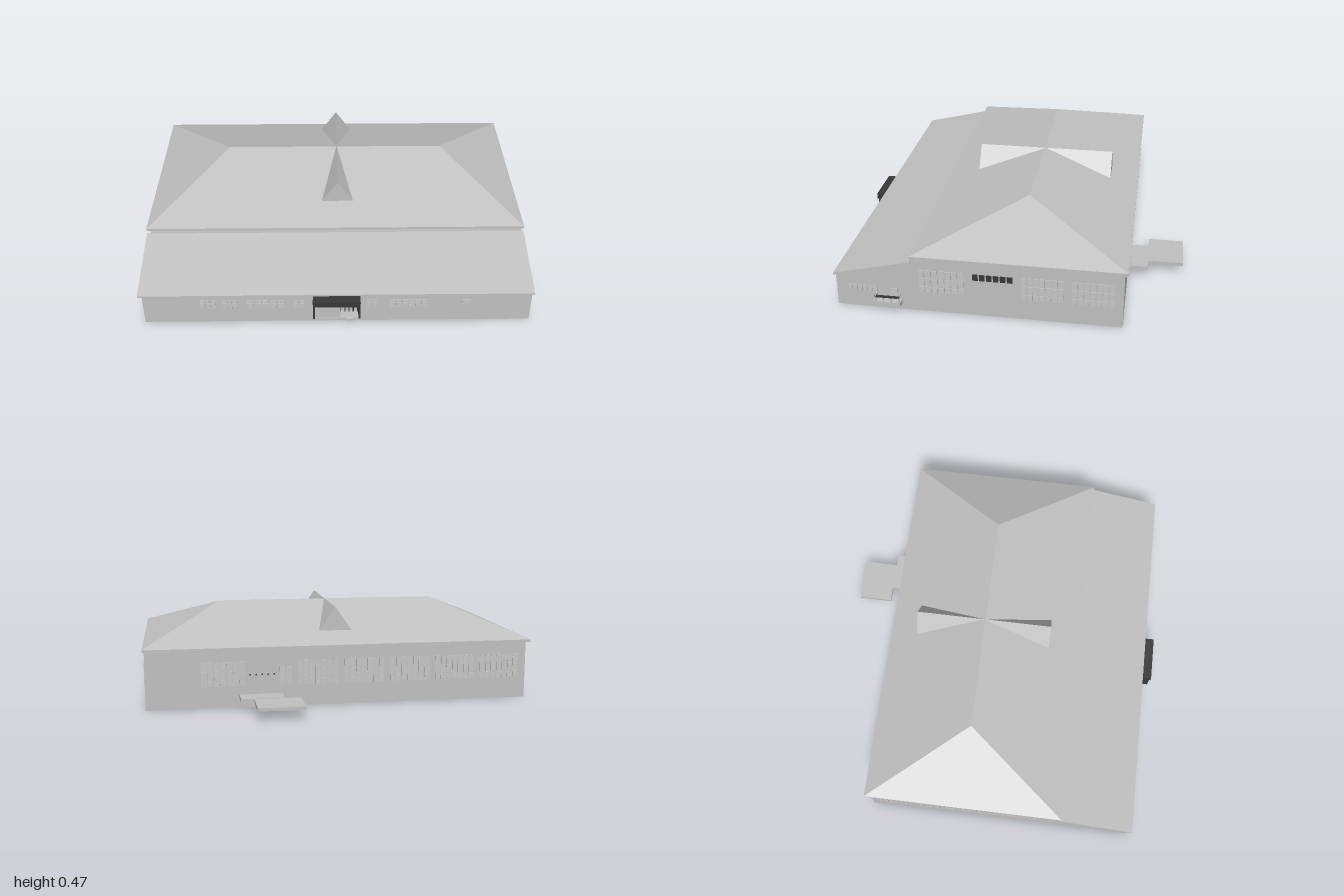
import * as THREE from 'three';
import { ConvexGeometry } from 'three/addons/geometries/ConvexGeometry.js';

const mat = (name, color) => {
  const m = new THREE.MeshStandardMaterial({ color });
  m.name = name;
  return m;
};

export function createModel() {
  const model = new THREE.Group();
  model.name = 'hall';
  const grey = mat('light grey', 0xc0c0c0);
  const pane = mat('pane grey', 0xc6c6c6);
  const dark = mat('charcoal', 0x383838);

  const add = (parent, name, geo, material) => {
    const m = new THREE.Mesh(geo, material);
    m.name = name;
    parent.add(m);
    return m;
  };
  // Box given by its extents on each axis
  const box = (parent, name, [x0, x1], [y0, y1], [z0, z1], material) => {
    const m = add(parent, name, new THREE.BoxGeometry(x1 - x0, y1 - y0, z1 - z0), material);
    m.position.set((x0 + x1) / 2, (y0 + y1) / 2, (z0 + z1) / 2);
    return m;
  };
  // Cross-section in (z, y) swept along x
  const sweep = (name, pts, x0, x1, material) => {
    const shape = new THREE.Shape(pts.map(p => new THREE.Vector2(...p)));
    const geo = new THREE.ExtrudeGeometry(shape, { depth: x1 - x0, bevelEnabled: false });
    geo.rotateY(-Math.PI / 2).translate(x1, 0, 0);
    return add(model, name, geo, material);
  };
  const hull = (name, pts) =>
    add(model, name, new ConvexGeometry(pts.map(p => new THREE.Vector3(...p))), grey);

  // Main walls with the low front wing
  sweep('walls', [[-0.59, 0], [0.8, 0], [0.8, 0.172], [0.43, 0.262], [0.425, 0.288], [-0.59, 0.288]], -0.98, 0.953, grey);
  sweep('frontWingRoof', [[0.81, 0.17], [0.81, 0.18], [0.425, 0.273], [0.425, 0.263]], -1, 0.963, grey);

  // Hipped roof with a thin eave
  const corners = [];
  for (const x of [-1, 0.963]) for (const z of [-0.607, 0.43]) corners.push([x, 0.29, z], [x, 0.303, z]);
  hull('hippedRoof', [...corners, [-0.6, 0.47, -0.09], [0.565, 0.47, -0.09]]);

  // Pointed dormers meeting at the ridge
  for (const [name, z] of [['frontDormer', 0.265], ['backDormer', -0.46]]) {
    hull(name, [[-0.092, 0.353, z], [0.077, 0.353, z], [-0.008, 0.472, z], [-0.008, 0.472, -0.095]]);
  }

  // Each facade has local x along the wall and local z outwards
  const facade = (name, angle, offset) => {
    const g = new THREE.Group();
    g.name = name;
    g.rotation.y = angle;
    g.position.set(Math.sin(angle) * offset, 0, Math.cos(angle) * offset);
    model.add(g);
    return g;
  };
  const front = facade('frontFacade', 0, 0.8);
  const right = facade('leftFacade', Math.PI / 2, 0.953);
  const left = facade('rightFacade', -Math.PI / 2, 0.98);
  const back = facade('backFacade', Math.PI, 0.59);

  // Row of thin panes
  const panes = (parent, a, b, y0, y1, count, material = pane) => {
    const step = (b - a) / count, gap = 0.003;
    for (let i = 0; i < count; i++) {
      box(parent, 'windowPane', [a + i * step + gap, a + (i + 1) * step - gap], [y0, y1], [-0.002, 0.004], material);
    }
  };
  // Tall window: a low row below two upper rows
  const tallWindow = (parent, a, b) => {
    panes(parent, a, b, 0.108, 0.138, 7);
    panes(parent, a, b, 0.143, 0.184, 7);
    panes(parent, a, b, 0.188, 0.23, 7);
  };

  // Front windows
  for (const [a, b, n] of [[-0.7, -0.615, 3], [-0.585, -0.51, 3], [-0.465, -0.275, 5],
    [-0.235, -0.175, 2], [0.13, 0.185, 2], [0.245, 0.435, 6]]) {
    panes(front, a, b, 0.088, 0.12, n);
    panes(front, a, b, 0.124, 0.14, n);
  }
  box(front, 'smallWindow', [0.608, 0.652], [0.105, 0.138], [-0.002, 0.004], pane);

  // Side windows
  for (const [a, b] of [[-0.39, -0.165], [0.105, 0.31], [0.345, 0.55]]) tallWindow(right, a, b);
  panes(right, -0.13, 0.07, 0.196, 0.228, 6, dark);
  panes(right, -0.745, -0.595, 0.092, 0.122, 6);
  for (const [a, b] of [[-0.55, -0.36], [-0.335, -0.13], [-0.1, 0.09], [0.11, 0.3]]) tallWindow(left, a, b);
  panes(left, 0.55, 0.76, 0.092, 0.122, 6);

  // Back windows
  tallWindow(back, -0.683, -0.465);
  panes(back, -0.3, -0.23, 0.108, 0.2, 2);
  for (let i = 0; i < 5; i++) tallWindow(back, -0.206 + i * 0.235, i * 0.235);
  for (let i = 0; i < 5; i++) {
    box(back, 'wallLamp', [-0.445 + i * 0.03, -0.438 + i * 0.03], [0.16, 0.167], [0, 0.004], dark);
  }

  // Front entrance
  const porch = new THREE.Group();
  porch.name = 'entrance';
  model.add(porch);
  box(porch, 'entranceCanopy', [-0.135, 0.1], [0.14, 0.172], [0.79, 0.857], dark);
  for (const x of [-0.135, 0.09]) box(porch, 'entranceSideWall', [x, x + 0.01], [0.058, 0.14], [0.79, 0.85], dark);
  box(porch, 'entranceFloor', [-0.125, 0.09], [0.058, 0.066], [0.79, 0.85], grey);
  box(porch, 'entranceStep', [0.03, 0.065], [0.058, 0.066], [0.85, 0.862], grey);
  box(porch, 'entrancePanel', [-0.125, 0.0], [0.066, 0.125], [0.83, 0.845], grey);
  box(porch, 'doorHeader', [0, 0.09], [0.127, 0.133], [0.8, 0.808], dark);
  for (let i = 0; i < 5; i++) {
    const x = i * 0.021;
    box(porch, 'doorPost', [x, x + 0.005], [0.066, 0.14], [0.8, 0.808], dark);
  }

  // Side landing with railing
  const landing = new THREE.Group();
  landing.name = 'sideLanding';
  model.add(landing);
  box(landing, 'landingSlab', [0.953, 0.995], [0.035, 0.058], [0.475, 0.61], grey);
  box(landing, 'landingRail', [0.985, 0.995], [0.082, 0.09], [0.48, 0.6], dark);
  for (const z of [0.48, 0.594]) box(landing, 'landingEndRail', [0.953, 0.995], [0.082, 0.09], [z, z + 0.006], grey);
  for (let i = 0; i < 4; i++) {
    const z = 0.48 + i * 0.038;
    box(landing, 'landingPost', [0.987, 0.993], [0.058, 0.082], [z, z + 0.006], grey);
  }
  box(landing, 'landingDoor', [0.953, 0.958], [0.058, 0.115], [0.495, 0.53], pane);

  // Rear landing in two joined slabs
  box(model, 'rearWalkway', [0.28, 0.495], [0.045, 0.065], [-0.69, -0.58], grey);
  box(model, 'rearPlatform', [0.2, 0.43], [0.047, 0.063], [-0.87, -0.69], grey);

  return model;
}
